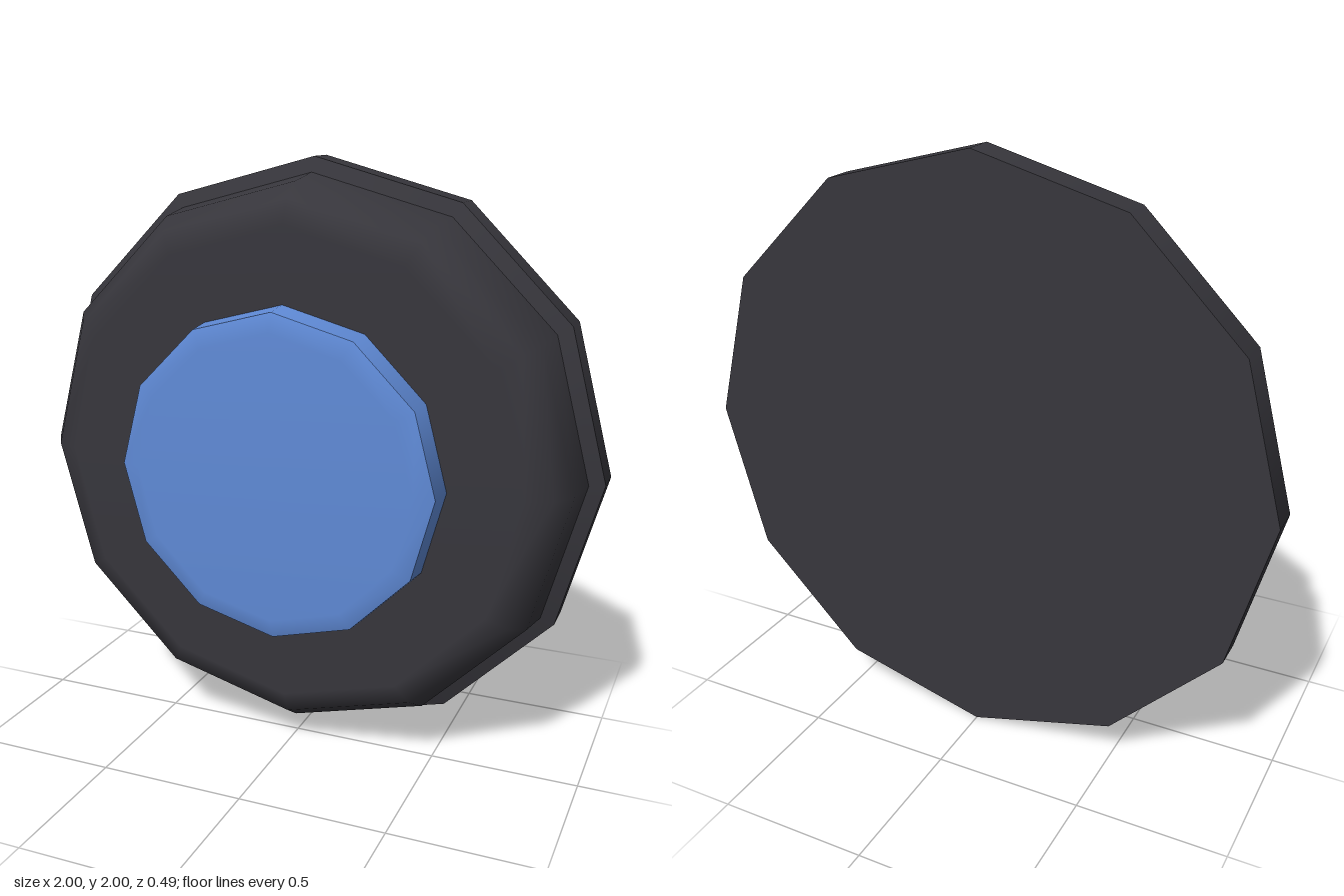
import * as THREE from 'three';

const SIDES = 12;

export function createModel() {
  const charcoal = new THREE.MeshStandardMaterial({ color: 0x37363c });
  charcoal.name = 'charcoal';
  const blue = new THREE.MeshStandardMaterial({ color: 0x5f8ad6 });
  blue.name = 'blue';

  const model = new THREE.Group();
  model.name = 'roundButton';

  // Each profile lists [radius, z] from back to front; it is smooth within itself
  // and meets the next profile at a sharp edge.
  function addTurned(name, material, profile) {
    const points = profile.map(([r, z]) => new THREE.Vector2(r, z));
    const geometry = new THREE.LatheGeometry(points, SIDES);
    geometry.rotateX(Math.PI / 2);
    const mesh = new THREE.Mesh(geometry, material);
    mesh.name = name;
    mesh.position.y = 1;
    model.add(mesh);
  }

  // Base plate with its rim
  addTurned('backPlate', charcoal, [[0, -0.243], [1, -0.243]]);
  addTurned('rim', charcoal, [[1, -0.243], [1, -0.135]]);
  addTurned('rimChamfer', charcoal, [[1, -0.135], [0.95, -0.113]]);

  // Rounded housing
  addTurned('housing', charcoal, [
    [0.95, -0.113], [0.93, 0.02], [0.88, 0.095], [0.8, 0.131], [0, 0.131],
  ]);

  // Raised centre button
  addTurned('buttonSide', blue, [[0.555, 0.125], [0.545, 0.222]]);
  addTurned('buttonFace', blue, [[0.545, 0.222], [0.48, 0.243], [0, 0.243]]);

  return model;
}
